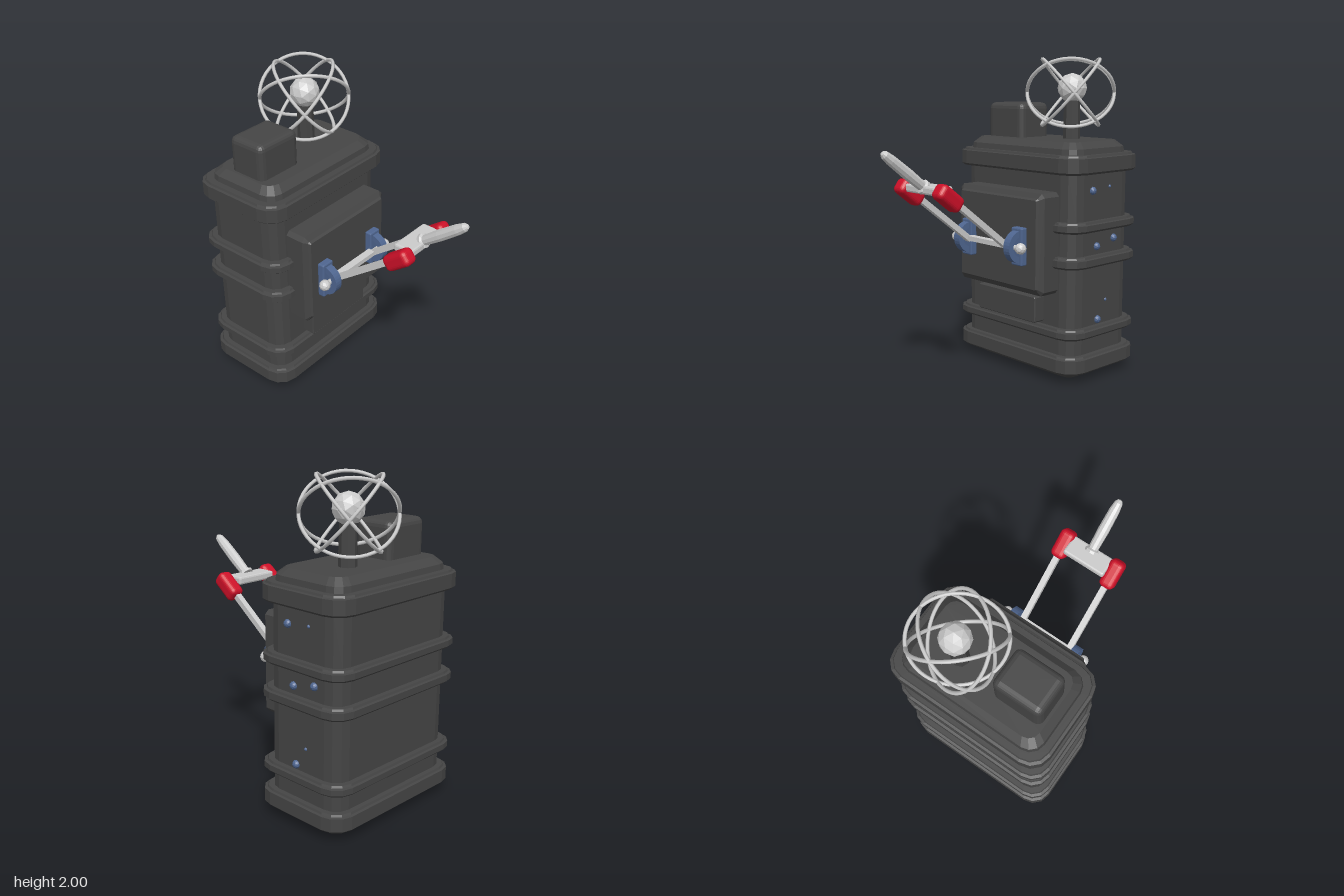
import * as THREE from 'three';
import { RoundedBoxGeometry } from 'three/addons/geometries/RoundedBoxGeometry.js';

const mat = (color, flatShading = true) => new THREE.MeshStandardMaterial({ color, flatShading });
const IRON = mat(0x454545), STEEL = mat(0xcccccc), SMOOTH = mat(0xcccccc, false);
const RED = mat(0xcc1028), BLUE = mat(0x4f6690);

// Outline of a rectangle with rounded corners, in the xz plane
function outline(hx, hz, r, segs) {
  const pts = [];
  for (let q = 0; q < 4; q++) {
    const sx = q === 0 || q === 3 ? 1 : -1, sz = q < 2 ? 1 : -1;
    for (let i = 0; i <= segs; i++) {
      const a = (q + i / segs) * Math.PI / 2;
      pts.push([sx * (hx - r) + r * Math.cos(a), sz * (hz - r) + r * Math.sin(a)]);
    }
  }
  return pts;
}

// Capped loft of that outline along y; profile is a list of [y, outward offset]
function loft(profile, hx, hz, r, segs) {
  const rows = profile.map(([y, o]) =>
    outline(hx + o, hz + o, Math.max(0.004, r + o * 0.5), segs).map(([x, z]) => [x, y, z]));
  const n = rows[0].length, pos = [];
  const tri = (...p) => p.forEach((v) => pos.push(...v));
  for (let j = 0; j < rows.length - 1; j++) {
    for (let i = 0; i < n; i++) {
      const k = (i + 1) % n, lo = rows[j], up = rows[j + 1];
      tri(lo[i], up[i], up[k]);
      tri(lo[i], up[k], lo[k]);
    }
  }
  const first = rows[0], last = rows[rows.length - 1];
  for (let i = 1; i < n - 1; i++) {
    tri(first[0], first[i], first[i + 1]);
    tri(last[0], last[i + 1], last[i]);
  }
  const g = new THREE.BufferGeometry();
  g.setAttribute('position', new THREE.Float32BufferAttribute(pos, 3));
  g.computeVertexNormals();
  return g;
}

export function createModel() {
  const root = new THREE.Group();
  root.name = 'boiler';
  const add = (name, geo, material, x = 0, y = 0, z = 0, parent = root) => {
    const m = new THREE.Mesh(geo, material);
    m.name = name;
    m.position.set(x, y, z);
    parent.add(m);
    return m;
  };

  // Tank with its raised bands
  const profile = [[0, -0.08], [0.045, -0.012]];
  for (const [a, b] of [[0.06, 0.17], [0.28, 0.345], [0.725, 0.795], [0.945, 1.01], [1.3, 1.415]]) {
    profile.push([a, 0], [a, 0.035], [a + 0.014, 0.05], [b - 0.016, 0.05], [b - 0.012, 0.035], [b, 0.03], [b, 0]);
  }
  profile.push([1.415, -0.01], [1.45, -0.015], [1.49, -0.06]);
  add('tank', loft(profile, 0.49, 0.28, 0.1, 3), IRON, 0, 0, -0.49);

  // Front door and the plate below it
  const door = loft([[0, 0], [0.125, 0], [0.145, -0.03], [0.16, -0.04]], 0.38, 0.315, 0.025, 1);
  add('door', door.rotateX(Math.PI / 2), IRON, 0, 0.875, -0.21);
  const plate = loft([[0, 0], [0.075, 0], [0.08, -0.005]], 0.26, 0.083, 0.008, 1);
  add('lowerPlate', plate.rotateX(Math.PI / 2), IRON, 0, 0.445, -0.21);

  // Top box and the post with its orbit cage
  add('topBox', new RoundedBoxGeometry(0.32, 0.27, 0.26, 2, 0.04), IRON, -0.252, 1.578, -0.483);
  add('post', new THREE.CylinderGeometry(0.05, 0.055, 0.3, 8), IRON, 0.175, 1.62, -0.54);
  add('core', new THREE.IcosahedronGeometry(0.095, 1), STEEL, 0.175, 1.81, -0.54);
  for (const sx of [-1, 1]) {
    for (const sz of [-1, 1]) {
      const orbit = add('orbitRing', new THREE.TorusGeometry(0.276, 0.011, 6, 48), SMOOTH, 0.165, 1.783, -0.535);
      const normal = new THREE.Vector3(sx * 0.514, 0.655, sz * 0.554).normalize();
      orbit.quaternion.setFromUnitVectors(new THREE.Vector3(0, 0, 1), normal);
    }
  }

  // Lug shape: half ring that bulges forward
  const lug = new THREE.Shape();
  lug.absarc(0, 0, 0.1, -Math.PI / 2, Math.PI / 2, false);
  lug.absarc(0, 0, 0.062, Math.PI / 2, -Math.PI / 2, true);
  const lugGeo = new THREE.ExtrudeGeometry(lug, { depth: 0.05, bevelEnabled: false, curveSegments: 8 });
  lugGeo.translate(0, 0, -0.025).rotateY(-Math.PI / 2);

  // Lever: brackets, pivot, arms and grips on both sides
  const lever = new THREE.Group();
  lever.name = 'lever';
  lever.position.set(-0.01, 0.86, 0.02);
  root.add(lever);
  const tilt = Math.atan2(0.61, 0.81);
  for (const s of [-1, 1]) {
    add('bracketPlate', new RoundedBoxGeometry(0.09, 0.235, 0.05, 1, 0.008), BLUE, s * 0.23, 0, -0.05, lever);
    add('bracketLug', lugGeo, BLUE, s * 0.23, 0, -0.04, lever);
    add('pivotBall', new THREE.IcosahedronGeometry(0.036, 1), STEEL, s * 0.293, 0, 0, lever);
    const arm = add('arm', new THREE.BoxGeometry(0.038, 0.036, 0.62), STEEL, s * 0.178, 0.18, 0.245, lever);
    arm.rotation.x = -tilt;
    const clamp = add('clamp', new RoundedBoxGeometry(0.098, 0.1, 0.19, 3, 0.032), RED, s * 0.18, 0.34, 0.468, lever);
    clamp.rotation.x = -tilt;
  }
  const axle = new THREE.CylinderGeometry(0.017, 0.017, 0.58, 8).rotateZ(Math.PI / 2);
  add('axle', axle, STEEL, 0, 0, 0, lever);
  add('pivotBar', new THREE.BoxGeometry(0.33, 0.03, 0.05), STEEL, 0, 0.005, 0, lever);
  add('crossbar', new RoundedBoxGeometry(0.29, 0.05, 0.13, 1, 0.012), STEEL, 0, 0.375, 0.465, lever);

  // Handle turned around its long axis
  const handle = new THREE.LatheGeometry(
    [[0, 0], [0.046, 0], [0.046, 0.018], [0.032, 0.026], [0.036, 0.15], [0.033, 0.29], [0.026, 0.345], [0.014, 0.363], [0, 0.367]]
      .map(([x, y]) => new THREE.Vector2(x, y)), 10);
  add('handle', handle, STEEL, 0, 0.385, 0.498, lever).rotation.x = Math.PI / 2 - tilt;

  // Rivets on one flank: [y, z, radius]
  for (const [y, z, r] of [[1.195, -0.39, 0.026], [0.845, -0.435, 0.026], [0.88, -0.595, 0.026],
    [0.375, -0.455, 0.026], [1.21, -0.55, 0.011], [0.49, -0.53, 0.011]]) {
    add('rivet', new THREE.IcosahedronGeometry(r, 1), BLUE, 0.488, y, z);
  }
  return root;
}
